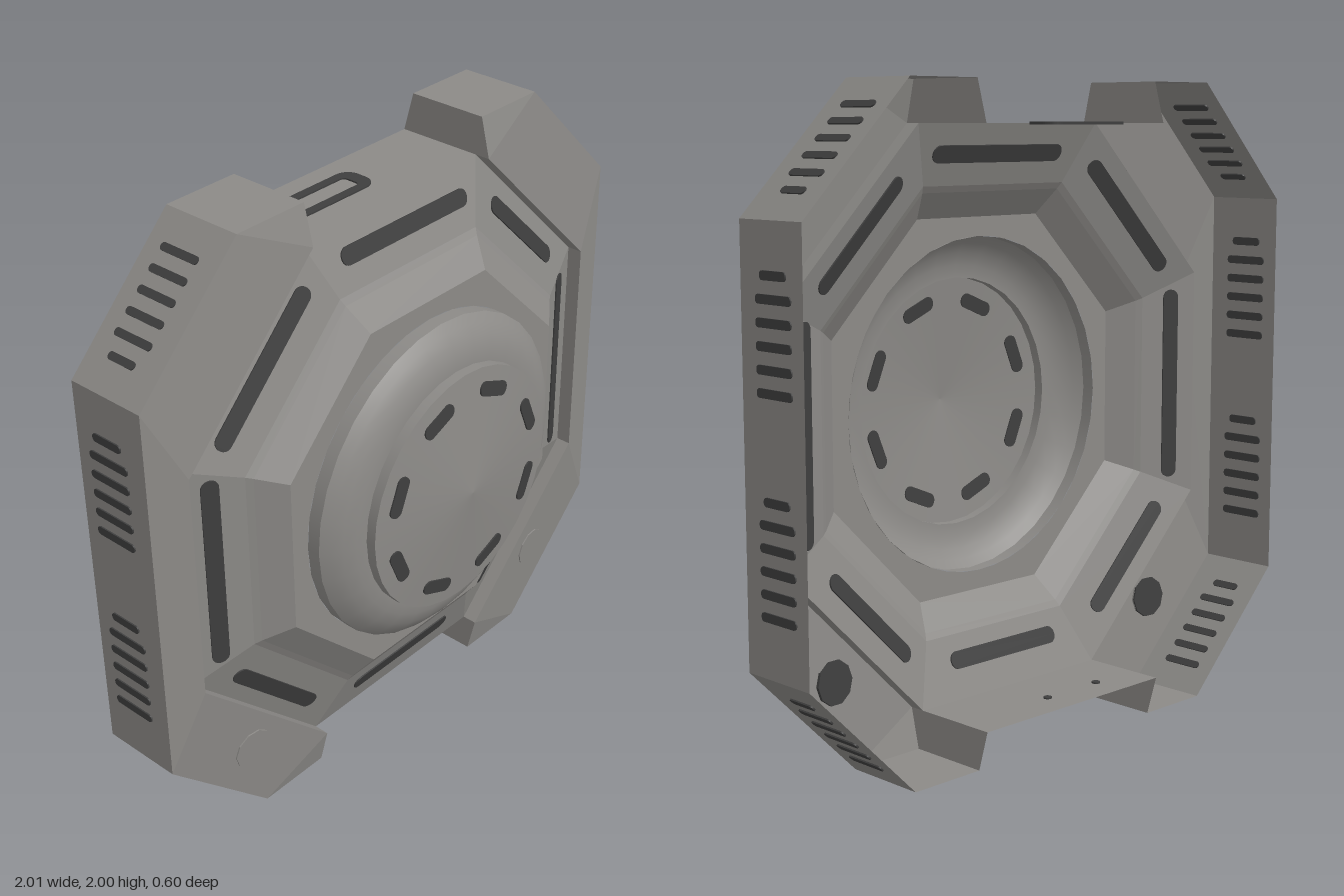
import * as THREE from 'three';

const V = (x, y, z) => new THREE.Vector3(x, y, z);
const FRONT = 0.03, RIM = -0.02, BACK = -0.3, SIDE_BACK = -0.265;

// Flat-shaded surface from a list of quads
function quadSurface(quads) {
  const pts = [];
  for (const [a, b, c, d] of quads) {
    if (b.distanceTo(c) > 1e-6) pts.push(a, b, c);
    if (a.distanceTo(d) > 1e-6) pts.push(a, c, d);
  }
  const geo = new THREE.BufferGeometry().setFromPoints(pts);
  geo.computeVertexNormals();
  return geo;
}

// Octagon corners, counter-clockwise from the front
function octagon(r, z) {
  const c = r * 0.4286;
  return [[r, -c], [r, c], [c, r], [-c, r], [-r, c], [-r, -c], [-c, -r], [c, -r]]
    .map(([x, y]) => V(x, y, z));
}

// Rounded rectangle outline
function roundRect(T, w, h, r) {
  const s = new T(), x = w / 2 - r, y = h / 2 - r;
  s.absarc(x, y, r, 0, Math.PI / 2);
  s.absarc(-x, y, r, Math.PI / 2, Math.PI);
  s.absarc(-x, -y, r, Math.PI, Math.PI * 1.5);
  s.absarc(x, -y, r, Math.PI * 1.5, Math.PI * 2);
  s.closePath();
  return s;
}

export function createModel() {
  const body = new THREE.MeshStandardMaterial({ color: 0x8c8a87, side: THREE.DoubleSide });
  body.name = 'warm grey plastic';
  const dark = new THREE.MeshStandardMaterial({ color: 0x3e3e3e, side: THREE.DoubleSide });
  dark.name = 'dark opening';

  const model = new THREE.Group();
  model.name = 'octagonalHousing';
  const shell = new THREE.Group();
  shell.name = 'shell';
  shell.position.y = 1;
  model.add(shell);

  const add = (name, geo, mat) => {
    const m = new THREE.Mesh(geo, mat);
    m.name = name;
    shell.add(m);
    return m;
  };

  // Thin plate set into a surface, visible from both sides
  function inlay(name, shape, pos, along, normal, mat = dark) {
    const geo = new THREE.ExtrudeGeometry(shape, { depth: 0.009, bevelEnabled: false, curveSegments: 5 });
    geo.translate(0, 0, -0.0045);
    const n = normal.clone().normalize();
    const y = n.clone().cross(along).normalize();
    const x = y.clone().cross(n);
    geo.applyMatrix4(new THREE.Matrix4().makeBasis(x, y, n).setPosition(pos));
    return add(name, geo, mat);
  }
  const slot = (name, len, wid, pos, along, normal) =>
    inlay(name, roundRect(THREE.Shape, len, wid, wid / 2 - 0.001), pos, along, normal);

  // Octagonal front: sloped band, then steeper shoulder
  const rings = [[0.875, RIM], [0.69, 0.05], [0.67, 0.063], [0.59, 0.125]].map(([r, z]) => octagon(r, z));
  ['slopedBand', 'shoulderEdge', 'shoulder'].forEach((name, k) => {
    const o = rings[k], i = rings[k + 1];
    add(name, quadSurface(o.map((p, j) => [p, o[(j + 1) % 8], i[(j + 1) % 8], i[j]])), body);
  });

  // Flat octagonal ledge around the round centre
  const ledge = new THREE.Shape(octagon(0.59, 0).map(p => new THREE.Vector2(p.x, p.y)));
  ledge.holes.push(new THREE.Path().absarc(0, 0, 0.53, 0, Math.PI * 2, true));
  add('octagonLedge', new THREE.ShapeGeometry(ledge, 24).translate(0, 0, 0.125), body);

  // Round centre, split at its sharp edges
  const turned = {
    ringWall: [[0.53, 0.125], [0.53, 0.168]],
    roundedRing: [[0.53, 0.168], [0.505, 0.192], [0.475, 0.212], [0.435, 0.228], [0.395, 0.23]],
    capWall: [[0.395, 0.23], [0.395, 0.262]],
    capCone: [[0.395, 0.262], [0, 0.304]],
  };
  for (const [name, pts] of Object.entries(turned)) {
    const geo = new THREE.LatheGeometry(pts.map(p => new THREE.Vector2(...p)), 32);
    add(name, geo.rotateX(Math.PI / 2), body);
  }

  // Top and bottom middle walls
  for (const s of [1, -1]) {
    const x = 0.375 * s, y = 0.875 * s;
    add(s > 0 ? 'topWall' : 'bottomWall',
      quadSurface([[V(-x, y, RIM), V(x, y, RIM), V(x, y, BACK), V(-x, y, BACK)]]), body);
  }

  // Side frames with chamfered corners, mirrored left and right
  const outer = [[0.375, 1], [0.625, 1], [1, 0.625], [1, -0.625], [0.625, -1], [0.375, -1]];
  const inner = [[0.375, 0.875], [0.375, 0.875], [0.875, 0.375], [0.875, -0.375], [0.375, -0.875], [0.375, -0.875]];
  for (const s of [1, -1]) {
    const O = (i, z) => V(outer[i][0] * s, outer[i][1], z);
    const I = (i, z) => V(inner[i][0] * s, inner[i][1], z);
    const face = [], wall = [], step = [];
    for (let i = 0; i < 5; i++) {
      face.push([O(i, 0), I(i, FRONT), I(i + 1, FRONT), O(i + 1, 0)]);
      wall.push([O(i, 0), O(i + 1, 0), O(i + 1, SIDE_BACK), O(i, SIDE_BACK)]);
      if (i > 0 && i < 4) step.push([I(i, FRONT), I(i, RIM), I(i + 1, RIM), I(i + 1, FRONT)]);
    }
    const ends = [
      [O(0, 0), O(0, SIDE_BACK), I(0, BACK), I(0, FRONT)],
      [I(5, FRONT), I(5, BACK), O(5, SIDE_BACK), O(5, 0)],
    ];
    const side = s > 0 ? 'left' : 'right';
    const parts = { FrameFace: face, FrameWall: wall, FrameStep: step, NotchEnds: ends };
    for (const [name, quads] of Object.entries(parts)) {
      add(side + name, quadSurface(s > 0 ? quads : quads.map(q => [...q].reverse())), body);
    }

    // Vent slots on the side wall and both chamfers
    for (const t of [1, -1]) {
      for (let k = 0; k < 6; k++) {
        const len = k === 5 ? 0.11 : 0.15;
        slot(side + 'SideVent', len, 0.026, V(s, t > 0 ? 0.165 + k * 0.063 : -0.45 + k * 0.064, -0.142), V(0, 0, 1), V(s, 0, 0));
        const d = (k - 2.5) * 0.045;
        slot(side + 'ChamferVent', len - 0.01, 0.024, V(s * (0.8125 + d), t * (0.8125 - d), -0.14), V(0, 0, 1), V(s, t, 0));
      }
    }

    // Round button below, with a dark opening behind it
    const disc = new THREE.Shape().absarc(0, 0, 0.068, 0, Math.PI * 2);
    const n = V(0.08 * s, -0.08, 1);
    inlay(side + 'Button', disc, V(0.69 * s, -0.725, 0.0165), V(1, 0, 0), n, body);
    inlay(side + 'ButtonBack', disc, V(0.69 * s, -0.725, 0.011), V(1, 0, 0), n);
  }

  // Long slots on the sloped band: both end points
  const bandSlots = [
    [-0.25, 0.785, 0.29, 0.785], [-0.235, -0.765, 0.22, -0.765],
    [-0.79, -0.32, -0.79, 0.32], [0.773, -0.32, 0.773, 0.33],
    [-0.745, 0.395, -0.385, 0.75], [0.415, 0.715, 0.725, 0.41],
    [-0.735, -0.405, -0.415, -0.72], [0.395, -0.715, 0.695, -0.415],
  ];
  for (const [x1, y1, x2, y2] of bandSlots) {
    const x = (x1 + x2) / 2, y = (y1 + y2) / 2;
    const a = Math.round(Math.atan2(y, x) / (Math.PI / 4)) * Math.PI / 4;
    const dir = V(Math.cos(a), Math.sin(a), 0);
    const apothem = (x * dir.x + y * dir.y) / (Math.abs(dir.x * dir.y) > 0.1 ? 1.01 : 1);
    const z = RIM + (0.875 - apothem) * 0.378;
    slot('bandSlot', Math.hypot(x2 - x1, y2 - y1), 0.055, V(x, y, z), V(-dir.y, dir.x, 0), V(dir.x * 0.378, dir.y * 0.378, 1));
  }

  // Ring of short slots on the cap
  for (let k = 0; k < 8; k++) {
    const a = (k + 0.5) * Math.PI / 4, c = Math.cos(a), s = Math.sin(a);
    slot('capSlot', 0.13, 0.046, V(0.322 * c, 0.322 * s, 0.27), V(-s, c, 0), V(c * 0.106, s * 0.106, 1));
  }

  // Port outline on the top wall
  const port = roundRect(THREE.Shape, 0.34, 0.12, 0.045);
  port.holes.push(roundRect(THREE.Path, 0.25, 0.062, 0.015));
  inlay('portOutline', port, V(-0.13, 0.875, -0.17), V(1, 0, 0), V(0, 1, 0));

  // Pin holes on the bottom wall
  for (const x of [0.02, -0.2]) {
    slot('pinHole', 0.026, 0.026, V(x, -0.875, -0.2), V(1, 0, 0), V(0, -1, 0));
  }
  return model;
}
